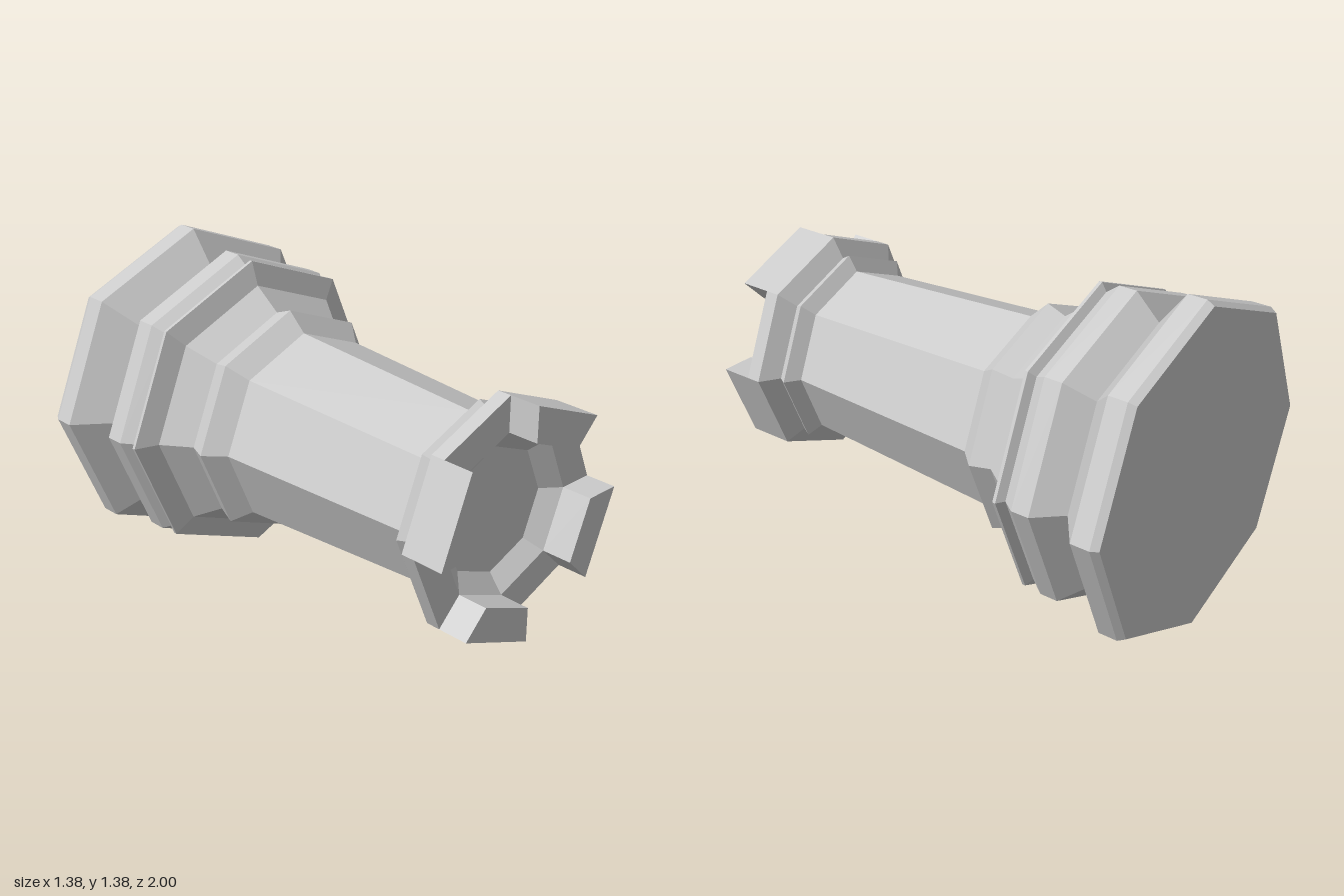
import * as THREE from 'three';

const SIDES = 8;
const AXIS_Y = 0.688; // height of the axis of the piece, which lies on its side

export function createModel() {
  const model = new THREE.Group();
  model.name = 'rook';
  const material = new THREE.MeshStandardMaterial({ color: 0xcccccc, flatShading: true });

  // Turned body: [radius, z], from the base to the floor of the bowl
  const profile = [
    [0, -1], [0.67, -1], [0.688, -0.97], [0.688, -0.89], // base
    [0.545, -0.78], [0.643, -0.68], [0.643, -0.605], // lower collar
    [0.603, -0.55], [0.637, -0.53], [0.637, -0.517], // thin ring
    [0.54, -0.485], [0.455, -0.37], [0.485, -0.29], [0.41, -0.21], // upper collar
    [0.36, 0.685], [0.42, 0.725], [0.4, 0.76], // neck
    [0.48, 0.81], [0.48, 0.87], [0.335, 0.87], [0.26, 0.81], [0, 0.81], // head and bowl
  ].map(([r, z]) => new THREE.Vector2(r, z));
  const bodyGeometry = new THREE.LatheGeometry(profile, SIDES).rotateX(Math.PI / 2);
  const body = new THREE.Mesh(bodyGeometry, material);
  body.name = 'body';
  body.position.y = AXIS_Y;
  model.add(body);

  // Battlements on every second side of the head
  const step = (Math.PI * 2) / SIDES;
  const corner = (r, a) => new THREE.Vector2(r * Math.cos(a), r * Math.sin(a));
  const outline = new THREE.Shape([
    corner(0.335, 0), corner(0.48, 0), corner(0.48, step), corner(0.335, step),
  ]);
  const merlonGeometry = new THREE.ExtrudeGeometry(outline, { depth: 0.13, bevelEnabled: false });
  for (let i = 1; i < SIDES; i += 2) {
    const merlon = new THREE.Mesh(merlonGeometry, material);
    merlon.name = 'battlement';
    merlon.position.set(0, AXIS_Y, 0.87);
    merlon.rotation.z = i * step;
    model.add(merlon);
  }
  return model;
}
